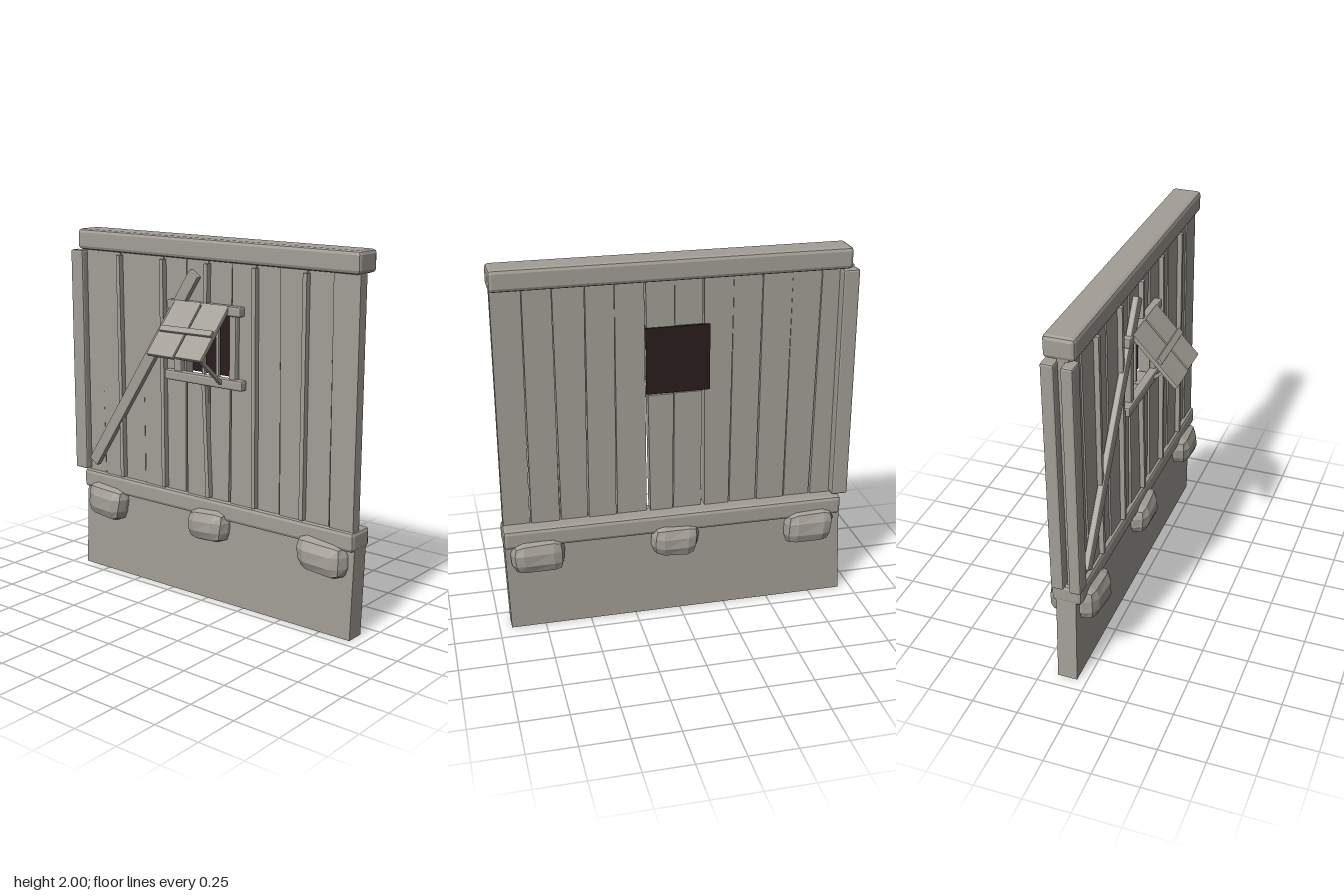
import * as THREE from 'three';
import { RoundedBoxGeometry } from 'three/addons/geometries/RoundedBoxGeometry.js';

const wood = new THREE.MeshStandardMaterial({ color: 0xa39f97, flatShading: true });
wood.name = 'weathered grey';
const dark = new THREE.MeshStandardMaterial({ color: 0x2a1d1c, flatShading: true });
dark.name = 'dark opening';

export function createModel() {
  const model = new THREE.Group();
  model.name = 'wallPanel';

  const add = (name, geometry, material = wood, parent = model) => {
    const mesh = new THREE.Mesh(geometry, material);
    mesh.name = name;
    parent.add(mesh);
    return mesh;
  };

  // Box with bevelled edges, given by its limits on each axis
  const beam = (name, x0, x1, y0, y1, z0, z1, bevel = 0.01, parent = model) => {
    const mesh = add(name, new RoundedBoxGeometry(x1 - x0, y1 - y0, z1 - z0, 1, bevel), wood, parent);
    mesh.position.set((x0 + x1) / 2, (y0 + y1) / 2, (z0 + z1) / 2);
    return mesh;
  };

  // Box whose left and right edges may slant between bottom and top
  const board = (name, bottom, top, y0, y1, z0, z1) => {
    const g = new THREE.BoxGeometry(1, 1, 1);
    const p = g.attributes.position;
    for (let i = 0; i < p.count; i++) {
      const ends = p.getY(i) > 0 ? top : bottom;
      p.setXYZ(i, ends[p.getX(i) > 0 ? 1 : 0], p.getY(i) > 0 ? y1 : y0, p.getZ(i) > 0 ? z1 : z0);
    }
    g.computeVertexNormals();
    return add(name, g);
  };

  // Footing and horizontal beams
  board('footing', [-0.93, 0.935], [-0.908, 0.95], 0, 0.5, -0.16, -0.053);
  beam('lowerBeam', -0.91, 0.955, 0.485, 0.592, -0.185, -0.022, 0.02);
  beam('upperBeam', -0.91, 0.955, 1.885, 2, -0.172, -0.01, 0.02);

  // Paired posts at one end
  beam('frontPost', -0.96, -0.87, 0.6, 1.88, -0.065, -0.004);
  beam('backPost', -0.95, -0.86, 0.6, 1.88, -0.168, -0.1);

  // Planks: edges as [bottom, top], with uneven gaps; the middle two leave a window
  const edges = [
    [-0.89, -0.9, 0], [-0.75, -0.768, 0.008], [-0.6, -0.61, 0.008], [-0.442, -0.45, 0.008],
    [-0.288, -0.295, 0.008], [-0.14, -0.135, 0.02], [0.025, 0.015, 0.008], [0.16, 0.17, 0.02],
    [0.335, 0.325, 0.008], [0.49, 0.475, 0.008], [0.64, 0.64, 0.01], [0.8, 0.79, 0.008], [0.945, 0.945, 0],
  ];
  const y0 = 0.58, y1 = 1.9;
  for (let i = 0; i < 12; i++) {
    const [a, b] = [edges[i], edges[i + 1]];
    const span = (y) => {
      const t = (y - y0) / (y1 - y0);
      return [a, b].map((e, k) => THREE.MathUtils.lerp(e[0], e[1], t) + (k ? -1 : 1) * e[2] * (1 - 0.7 * t) / 2);
    };
    const shift = (i % 2) * 0.006;
    const pieces = i === 5 || i === 6 ? [[y0, 1.26], [1.63, y1]] : [[y0, y1]];
    for (const [lo, hi] of pieces) board('plank', span(lo), span(hi), lo, hi, -0.104 + shift, -0.046 + shift);
  }

  // Narrow battens over every second joint
  const batten = (xb, xt, lo, hi) =>
    board('batten', [xb - 0.012, xb + 0.012], [xt - 0.012, xt + 0.012], lo, hi, -0.045, -0.014);
  batten(-0.598, -0.608, 0.6, 1.87);
  batten(-0.285, -0.293, 0.6, 1.87);
  batten(0.03, 0, 0.6, 1.24);
  batten(0.01, 0.015, 1.64, 1.87);
  batten(0.337, 0.327, 0.6, 1.87);
  batten(0.643, 0.64, 0.6, 1.87);

  // Diagonal brace
  const [dx, dy] = [0.76, 1.16];
  const brace = add('diagonalBrace', new RoundedBoxGeometry(0.07, Math.hypot(dx, dy), 0.035, 1, 0.008));
  brace.position.set(-0.44, 1.235, -0.022);
  brace.rotation.z = -Math.atan2(dx, dy);

  // Window: dark backing, bars and frame
  add('windowBacking', new THREE.BoxGeometry(0.34, 0.36, 0.009), dark).position.set(0, 1.45, -0.107);
  for (const x of [-0.045, 0.05]) beam('windowBar', x - 0.009, x + 0.009, 1.25, 1.64, -0.09, -0.07, 0.004);
  beam('windowHead', -0.24, 0.255, 1.612, 1.665, -0.045, 0.002);
  beam('windowSill', -0.26, 0.27, 1.225, 1.28, -0.045, 0.004);
  beam('windowJamb', -0.2, -0.15, 1.27, 1.62, -0.05, -0.008);
  beam('windowJamb', 0.175, 0.22, 1.27, 1.62, -0.05, -0.008);

  // Propped shutter, hinged at the window head
  const shutter = new THREE.Group();
  shutter.name = 'shutter';
  shutter.position.set(0, 1.655, -0.008);
  shutter.rotation.x = -0.745;
  model.add(shutter);
  beam('shutterBoard', -0.183, -0.005, -0.345, 0.005, -0.012, 0.012, 0.004, shutter);
  beam('shutterBoard', 0.005, 0.178, -0.34, 0.005, -0.012, 0.012, 0.004, shutter);
  beam('shutterBatten', -0.172, 0.175, -0.2, -0.165, 0.01, 0.028, 0.004, shutter).rotation.z = 0.015;
  const stay = add('shutterStay', new THREE.BoxGeometry(0.02, 0.265, 0.018));
  stay.position.set(0.13, 1.338, 0.098);
  stay.rotation.x = Math.atan2(0.2, 0.17);

  // Rough stones set through the wall under the lower beam
  const stones = [[-0.725, 0.43, 0.275, 0.2, 1], [0.03, 0.44, 0.26, 0.185, 2], [0.772, 0.43, 0.285, 0.19, 3]];
  for (const [x, y, w, h, seed] of stones) {
    const g = new RoundedBoxGeometry(w, h, 0.265, 1, 0.065);
    const p = g.attributes.position;
    for (let i = 0; i < p.count; i++) {
      const [a, b, c] = [p.getX(i), p.getY(i), p.getZ(i)];
      p.setXYZ(i,
        a * (1 + 0.5 * b) + 0.006 * Math.sin(seed * 5 + b * 20 + c * 13),
        b + 0.008 * Math.sin(seed * 3 + a * 14 + c * 9),
        c * (1 - 0.25 * b) + 0.006 * Math.sin(seed * 7 + a * 17 + b * 11));
    }
    g.computeVertexNormals();
    add('stone', g).position.set(x, y, -0.1);
  }

  return model;
}
